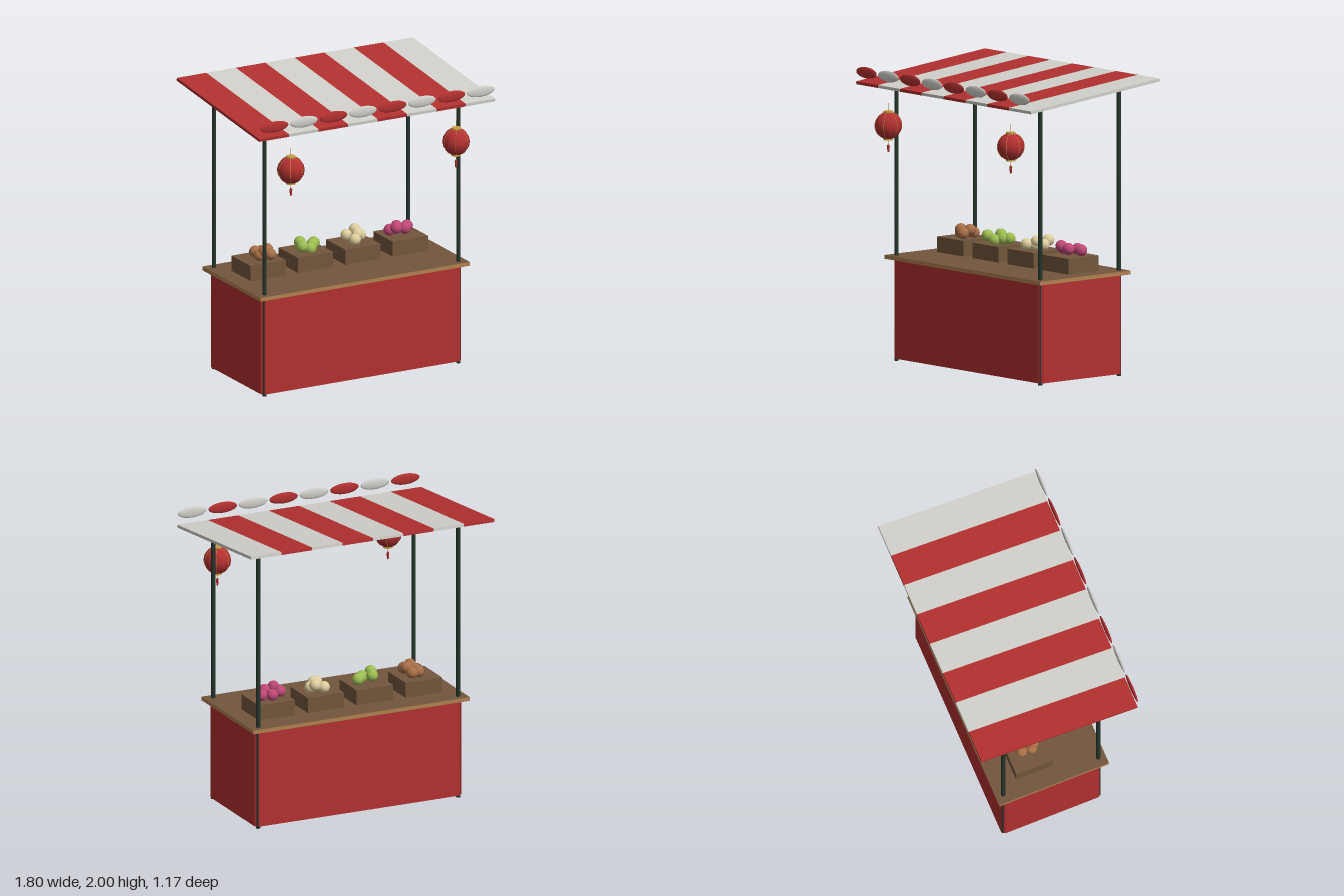
import * as THREE from 'three';

const mat = (name, color) => Object.assign(new THREE.MeshStandardMaterial({ color }), { name });

export function createModel() {
  const red = mat('red', 0xb33030), white = mat('offWhite', 0xd2d0ca);
  const wood = mat('darkWood', 0x72563c), trim = mat('lightWood', 0xb08050);
  const iron = mat('darkGreenPost', 0x26352c), gold = mat('gold', 0xc9a24a);
  const brown = mat('brownFruit', 0xa87048), green = mat('greenFruit', 0x9dbd52);
  const cream = mat('creamFruit', 0xdfcf9f), pink = mat('pinkFruit', 0xbf4878);

  const model = new THREE.Group();
  model.name = 'marketStall';
  const add = (name, geo, material, x, y, z, parent = model) => {
    const m = new THREE.Mesh(geo, material);
    m.name = name;
    m.position.set(x, y, z);
    parent.add(m);
    return m;
  };

  // Cabinet: box with chamfered upright corners
  const w = 0.767, d = 0.36, c = 0.024;
  const plan = new THREE.Shape([
    [w - c, -d], [w, -d + c], [w, d - c], [w - c, d],
    [-w + c, d], [-w, d - c], [-w, -d + c], [-w + c, -d],
  ].map(([x, y]) => new THREE.Vector2(x, y)));
  const cabinetGeo = new THREE.ExtrudeGeometry(plan, { depth: 0.67, bevelEnabled: false });
  cabinetGeo.rotateX(-Math.PI / 2);
  add('cabinet', cabinetGeo, red, 0, 0.015, -0.015);

  // Counter: dark faces with a lighter edge
  add('counter', new THREE.BoxGeometry(1.604, 0.026, 0.79),
    [trim, trim, wood, wood, trim, trim], 0, 0.697, -0.015);

  // Posts: the back pair is taller
  for (const sx of [-1, 1]) {
    for (const [z, h] of [[0.328, 1.857], [-0.358, 1.95]]) {
      add('post', new THREE.CylinderGeometry(0.0145, 0.0145, h, 10), iron, sx * 0.742, h / 2, z);
    }
  }

  // Sloping striped canopy
  const canopy = new THREE.Group();
  canopy.name = 'canopy';
  canopy.position.set(0, 1.932, -0.018);
  canopy.rotation.x = 0.102;
  model.add(canopy);
  const stripe = 1.804 / 8;
  const stripeGeo = new THREE.BoxGeometry(stripe, 0.02, 1.13);
  const scallopGeo = new THREE.SphereGeometry(1, 16, 10);
  scallopGeo.scale(0.106, 0.038, 0.011);
  for (let i = 0; i < 8; i++) {
    const x = (i - 3.5) * stripe, m = i % 2 ? white : red;
    add('canopyStripe', stripeGeo, m, x, 0, 0, canopy);
    add('canopyScallop', scallopGeo, m, x, 1.955, 0.55);
  }

  // Crates heaped with fruit: [x, y, z] offsets from the crate's top centre
  const crates = [
    [-0.543, brown, [[-0.005, 0.035, -0.04], [0.013, 0.058, 0.05], [0.053, 0.037, 0.065],
      [0.06, 0.055, 0.01], [-0.01, 0.03, 0.03], [0.04, 0.03, -0.04]]],
    [-0.181, green, [[-0.062, 0.05, 0.06], [-0.03, 0.052, -0.03], [0.004, 0.025, 0.055],
      [0.04, 0.035, 0.01], [0.072, 0.036, -0.02]]],
    [0.181, cream, [[-0.022, 0.036, 0.06], [0.012, 0.03, 0.01], [0.062, 0.034, -0.02],
      [0.05, 0.06, -0.07], [0.025, 0.055, 0.01], [-0.02, 0.034, -0.06]]],
    [0.543, pink, [[-0.08, 0.036, -0.01], [-0.054, 0.058, 0.035], [0.002, 0.036, -0.06],
      [0.015, 0.045, 0.03], [0.068, 0.036, -0.035]]],
  ];
  const crateGeo = new THREE.BoxGeometry(0.269, 0.105, 0.264);
  const fruitGeo = new THREE.SphereGeometry(0.04, 14, 10);
  for (const [x, material, spots] of crates) {
    const crate = new THREE.Group();
    crate.name = 'fruitCrate';
    crate.position.set(x, 0.815, -0.105);
    model.add(crate);
    add('crate', crateGeo, wood, 0, -0.0525, 0, crate);
    for (const [fx, fy, fz] of spots) add('fruit', fruitGeo, material, fx, fy, fz, crate);
  }

  // Hanging lanterns with gold ribs, collars and a tassel
  const bodyGeo = new THREE.SphereGeometry(0.093, 12, 8);
  const ribGeo = new THREE.TorusGeometry(0.0925, 0.0016, 4, 32);
  const collarGeo = new THREE.CylinderGeometry(0.032, 0.032, 0.012, 12);
  const cordGeo = new THREE.CylinderGeometry(0.0018, 0.0018, 0.055, 5);
  for (const sx of [-1, 1]) {
    const lantern = new THREE.Group();
    lantern.name = 'lantern';
    lantern.position.set(sx * 0.632, 1.613, 0.492);
    model.add(lantern);
    add('lanternBody', bodyGeo, red, 0, 0, 0, lantern);
    for (let i = 0; i < 3; i++) {
      add('lanternRib', ribGeo, gold, 0, 0, 0, lantern).rotation.y = i * Math.PI / 3;
    }
    for (const sy of [-1, 1]) {
      add('lanternCollar', collarGeo, gold, 0, sy * 0.092, 0, lantern);
      add('lanternCord', cordGeo, gold, 0, sy * 0.124, 0, lantern);
    }
    add('tasselKnot', new THREE.SphereGeometry(0.008, 8, 6), red, 0, -0.136, 0, lantern);
    add('tassel', new THREE.CylinderGeometry(0.01, 0.006, 0.042, 8), red, 0, -0.159, 0, lantern);
  }
  return model;
}
